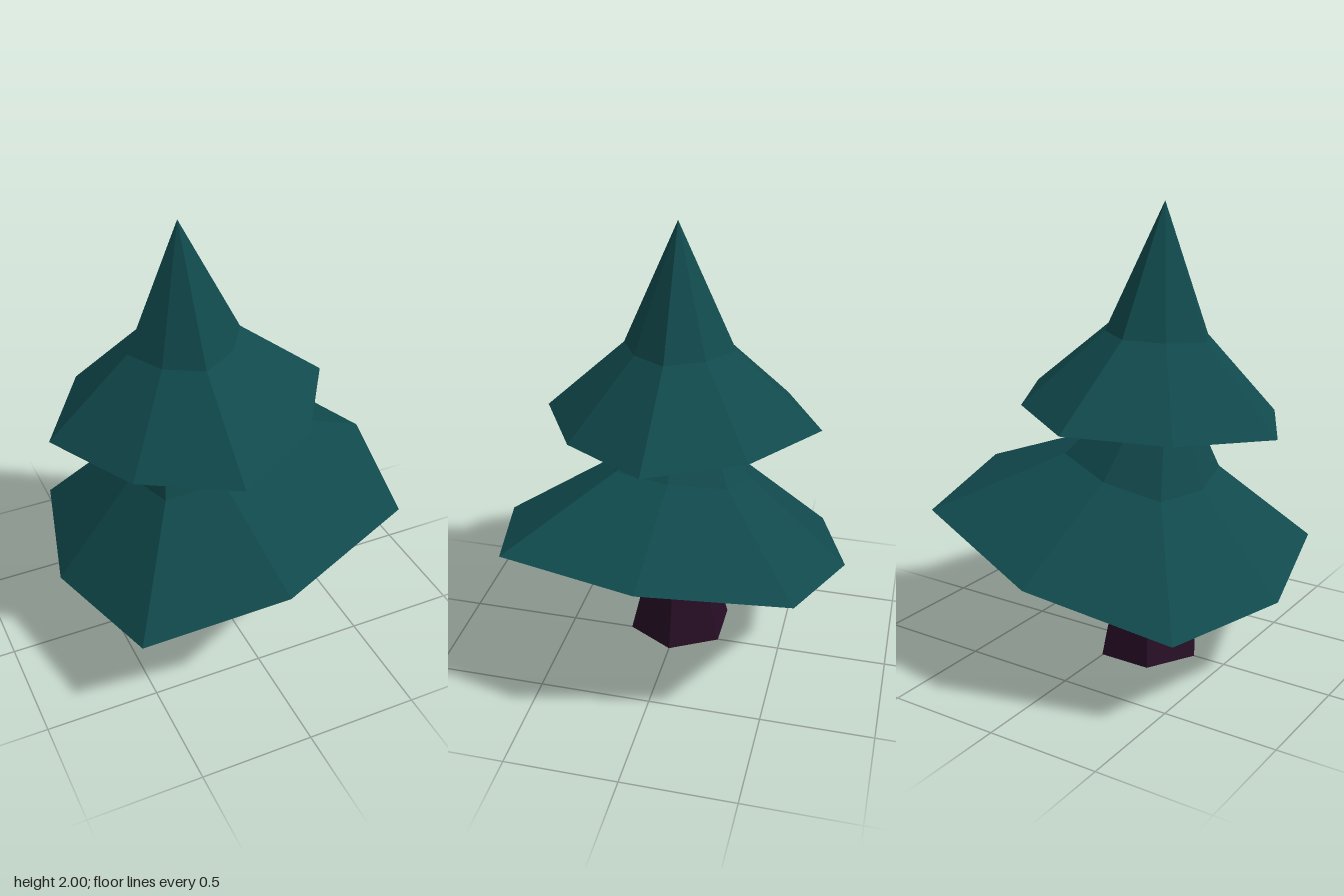
import * as THREE from 'three';

const V = (x, y, z) => new THREE.Vector3(x, y, z);

// Faceted skin through stacked rings (counter-clockwise from above, bottom to top).
// A ring with a single point closes to a tip or cap.
function loft(rings) {
  const tris = [];
  for (let r = 0; r < rings.length - 1; r++) {
    const lo = rings[r], hi = rings[r + 1];
    const n = Math.max(lo.length, hi.length);
    for (let i = 0; i < n; i++) {
      const j = (i + 1) % n;
      if (lo.length === 1) tris.push(lo[0], hi[j], hi[i]);
      else if (hi.length === 1) tris.push(lo[i], lo[j], hi[0]);
      else tris.push(lo[i], lo[j], hi[j], lo[i], hi[j], hi[i]);
    }
  }
  const geometry = new THREE.BufferGeometry().setFromPoints(tris);
  geometry.computeVertexNormals(); // unshared corners give flat facets
  return geometry;
}

// One hollow layer of foliage: wide rim, smaller copy of it as a shoulder, then a tip
function tier(rim, rimCentre, shoulderCentre, scale, tip) {
  const shoulder = rim.map(p => p.clone().sub(rimCentre).multiplyScalar(scale).add(shoulderCentre));
  return loft([rim, shoulder, [tip]]);
}

function hexRing(x, y, radius) {
  return Array.from({ length: 6 }, (_, i) => {
    const a = i * Math.PI / 3;
    return V(x + radius * Math.cos(a), y, -radius * Math.sin(a) * 1.04);
  });
}

export function createModel() {
  const group = new THREE.Group();
  const needles = new THREE.MeshStandardMaterial({ color: 0x114a4d, flatShading: true, side: THREE.DoubleSide });
  needles.name = 'darkTealNeedles';
  const bark = new THREE.MeshStandardMaterial({ color: 0x270e25, flatShading: true });
  bark.name = 'darkPurpleBark';

  const add = (name, geometry, material) => {
    const mesh = new THREE.Mesh(geometry, material);
    mesh.name = name;
    group.add(mesh);
  };

  // Six-sided trunk, flared at the foot
  const tx = -0.115;
  add('trunk', loft([
    [V(tx, 0, 0)], hexRing(tx, 0, 0.235), hexRing(tx, 0.45, 0.125), hexRing(tx, 1.0, 0.125), [V(tx, 1.0, 0)],
  ]), bark);

  // Lower foliage, strongly tilted, with a squarish rim
  const lowerRim = [
    V(-0.75, 0.36, 0), V(-0.6, 0.43, 0.625), V(0, 0.6, 0.775), V(0.6, 0.75, 0.61),
    V(0.75, 0.76, -0.01), V(0.6, 0.7, -0.63), V(0, 0.525, -0.78), V(-0.6, 0.372, -0.615),
  ];
  add('lowerFoliage', tier(lowerRim, V(0, 0.56, 0), V(-0.087, 0.88, -0.015), 0.4, V(-0.21, 1.38, -0.02)), needles);

  // Upper foliage, slightly tilted, with an irregular round rim
  const upperRim = [
    [-0.735, -0.03], [-0.52, 0.38], [-0.14, 0.625], [0.26, 0.405],
    [0.51, 0.025], [0.295, -0.38], [-0.085, -0.63], [-0.48, -0.425],
  ].map(([x, z]) => V(x, 1.118 + 0.06 * (x + 0.11) - 0.035 * z, z));
  add('upperFoliage', tier(upperRim, V(-0.112, 1.118, 0), V(-0.135, 1.45, 0.012), 0.4, V(-0.163, 2, 0.025)), needles);

  return group;
}
